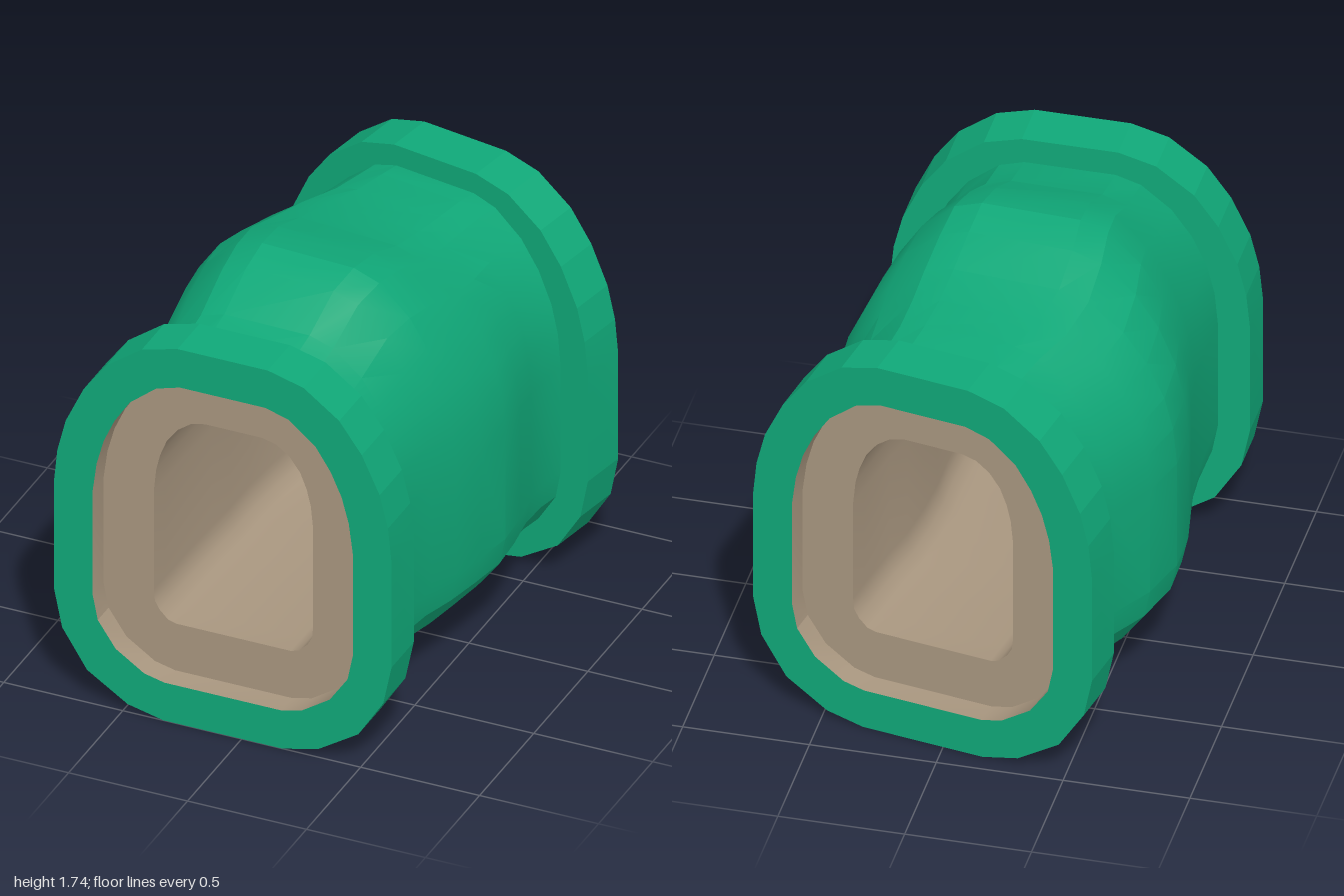
import * as THREE from 'three';
import { toCreasedNormals } from 'three/addons/utils/BufferGeometryUtils.js';

// Right half of each cross-section, bottom to top, as [x, y]; the left half is mirrored.
const COLLAR = [[.25, 0], [.40, .035], [.57, .145], [.675, .31], [.71, .48], [.71, .95],
  [.695, 1.1], [.66, 1.24], [.585, 1.4], [.49, 1.53], [.34, 1.64], [.19, 1.68]];
const BODY = [[.245, .13], [.34, .155], [.48, .235], [.56, .36], [.583, .48], [.583, .95],
  [.57, 1.09], [.54, 1.21], [.48, 1.34], [.40, 1.45], [.28, 1.545], [.18, 1.575]];
const RECESS = [[.245, .17], [.33, .19], [.45, .27], [.525, .38], [.547, .49], [.547, .95],
  [.53, 1.08], [.50, 1.19], [.455, 1.29], [.39, 1.39], [.28, 1.48], [.18, 1.51]];
const BORE = [[.24, .38], [.275, .39], [.31, .425], [.33, .46], [.335, .51], [.335, .95],
  [.325, 1.05], [.308, 1.12], [.28, 1.19], [.235, 1.25], [.18, 1.29], [.12, 1.305]];

const SHOULDER = 0.95;

// Places a section in the bent path: centre (x, z), turn in degrees, width scale, top height.
function loop(half, { x, z, turn = 0, width = 1, top = half[11][1] }) {
  const a = THREE.MathUtils.degToRad(turn);
  const rise = (top - SHOULDER) / (half[11][1] - SHOULDER);
  const full = [...half, ...half.map(([px, py]) => [-px, py]).reverse()];
  return full.map(([px, py]) => new THREE.Vector3(
    x + px * width * Math.cos(a),
    py > SHOULDER ? SHOULDER + (py - SHOULDER) * rise : py,
    z + px * width * Math.sin(a)));
}

// Skins a list of loops; front-to-back order faces outward, back-to-front inward.
function loft(loops, crease) {
  const n = loops[0].length, index = [];
  for (let r = 0; r < loops.length - 1; r++) {
    for (let i = 0; i < n; i++) {
      const j = (i + 1) % n;
      const a = r * n + i, a2 = r * n + j, b = a + n, b2 = a2 + n;
      index.push(a, b, a2, b, b2, a2);
    }
  }
  const geometry = new THREE.BufferGeometry().setFromPoints(loops.flat());
  geometry.setIndex(index);
  return toCreasedNormals(geometry, crease);
}

export function createModel() {
  const model = new THREE.Group();
  model.name = 'tunnelSection';

  const green = new THREE.MeshStandardMaterial({ color: 0x10a878 });
  green.name = 'green shell';
  const tan = new THREE.MeshStandardMaterial({ color: 0xa8967f });
  tan.name = 'tan lining';

  const add = (name, loops, material, crease) => {
    const mesh = new THREE.Mesh(loft(loops, crease), material);
    mesh.name = name;
    model.add(mesh);
  };

  // Frames at a given distance in from each open end
  const TURN = 10, rad = THREE.MathUtils.degToRad(TURN);
  const front = d => ({ x: -.08, z: 1 - d });
  const back = d => ({ x: .085 - d * Math.sin(rad), z: -.877 + d * Math.cos(rad), turn: TURN });
  const DEPTH = .205, INSET = .1;

  // Body: bends to one side and swells in the middle
  const stations = [
    [-.08, .795, 0, 1, 1.575],
    [-.076, .6, 1, 1.003, 1.615],
    [-.07, .4, 2, 1.038, 1.71],
    [-.063, .25, 3, 1.098, 1.735],
    [-.064, .08, 4, 1.156, 1.71],
    [-.052, -.1, 5, 1.184, 1.65],
    [-.03, -.28, 7, 1.13, 1.62],
    [.007, -.44, 8.5, 1.03, 1.605],
    [.033, -.58, TURN, .995, 1.6],
    [.05, -.675, TURN, 1, 1.59],
  ].map(([x, z, turn, width, top]) => ({ x, z, turn, width, top }));
  add('body', stations.map(s => loop(BODY, s)), green, .3);

  // Collars: outer rim with a flat ring at each side
  add('frontCollar', [
    loop(RECESS, front(0)), loop(COLLAR, front(0)),
    loop(COLLAR, front(DEPTH)), loop(BODY, front(DEPTH)),
  ], green, .1);
  add('backCollar', [
    loop(BODY, back(DEPTH)), loop(COLLAR, back(DEPTH)),
    loop(COLLAR, back(0)), loop(RECESS, back(0)),
  ], green, .1);

  // Stepped recesses inside the collars
  add('frontRecess', [
    loop(BORE, front(INSET)), loop(RECESS, front(INSET)), loop(RECESS, front(0)),
  ], tan, .4);
  add('backRecess', [
    loop(RECESS, back(0)), loop(RECESS, back(INSET)), loop(BORE, back(INSET)),
  ], tan, .4);

  // Passage running through the body
  const passage = [front(INSET), ...stations.map(({ x, z, turn }) => ({ x, z, turn })), back(INSET)];
  add('passage', passage.reverse().map(s => loop(BORE, s)), tan, .7);

  return model;
}
